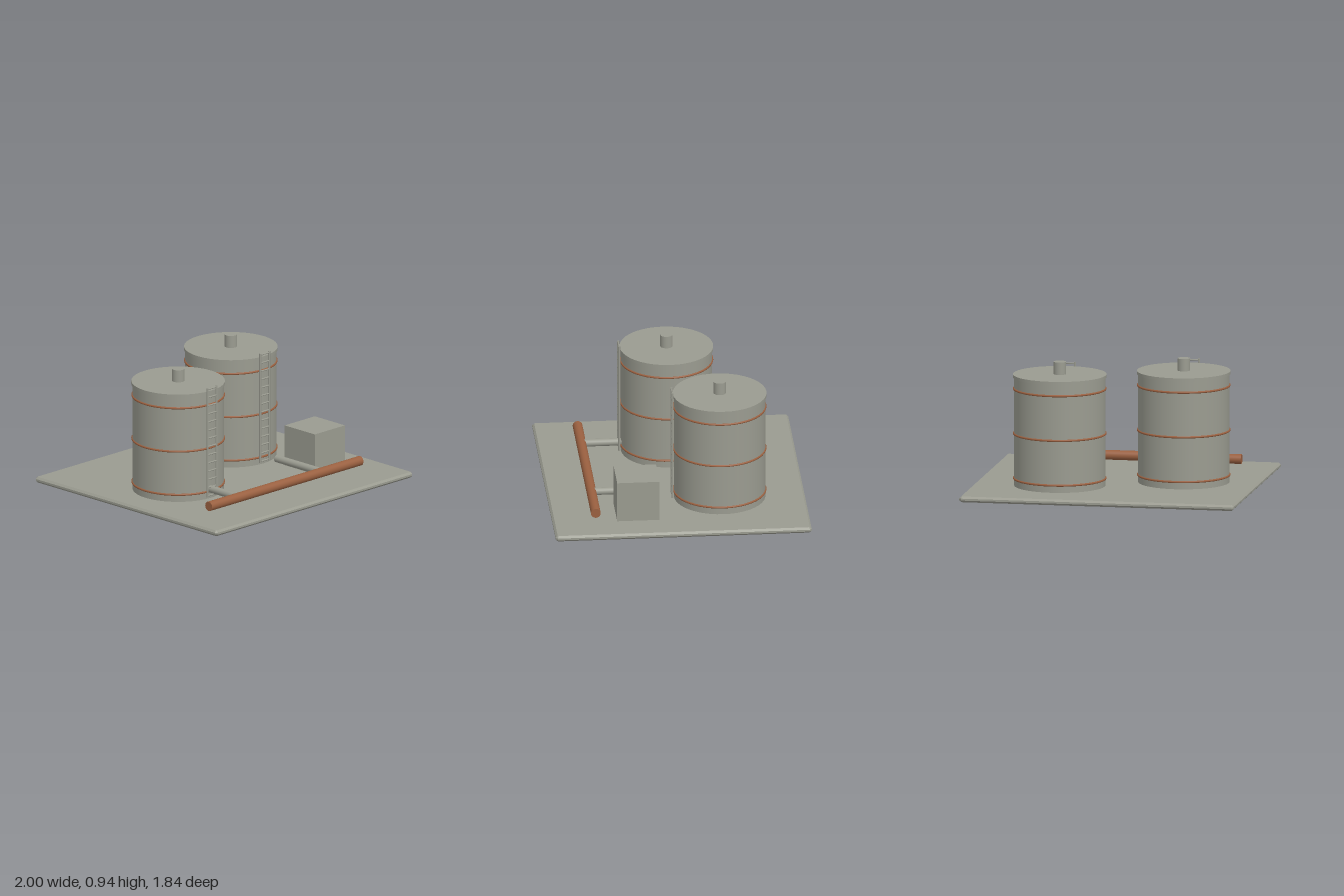
import * as THREE from 'three';

const grey = new THREE.MeshStandardMaterial({ color: 0x9a9b90 });
grey.name = 'weathered grey';
const copper = new THREE.MeshStandardMaterial({ color: 0x9a6040 });
copper.name = 'rust copper';

function add(parent, name, geometry, material, x = 0, y = 0, z = 0) {
  const mesh = new THREE.Mesh(geometry, material);
  mesh.name = name;
  mesh.position.set(x, y, z);
  parent.add(mesh);
  return mesh;
}

const cylinder = (r, h, sides = 40) => new THREE.CylinderGeometry(r, r, h, sides);

// Slab with chamfered edges
function slabGeometry(w, d, h, c) {
  const x = w / 2 - c, z = d / 2 - c, k = 0.006;
  const shape = new THREE.Shape([
    [-x + k, -z], [x - k, -z], [x, -z + k], [x, z - k],
    [x - k, z], [-x + k, z], [-x, z - k], [-x, -z + k],
  ].map(([a, b]) => new THREE.Vector2(a, b)));
  return new THREE.ExtrudeGeometry(shape, {
    depth: h - 2 * c, bevelEnabled: true, bevelSize: c, bevelThickness: c, bevelSegments: 1,
  }).rotateX(-Math.PI / 2).translate(0, c, 0);
}

function createLadder() {
  const ladder = new THREE.Group();
  ladder.name = 'ladder';
  for (const side of [-1, 1]) {
    add(ladder, 'ladderRail', cylinder(0.008, 0.82, 8), grey, side * 0.045, 0.47, 0);
  }
  for (let i = 0; i < 14; i++) {
    add(ladder, 'ladderRung', cylinder(0.006, 0.09, 8).rotateZ(Math.PI / 2), grey, 0, 0.07 + i * 0.0615, 0);
  }
  return ladder;
}

function createTank(x, z) {
  const tank = new THREE.Group();
  tank.name = 'storageTank';
  tank.position.set(x, 0, z);
  add(tank, 'tankWall', cylinder(0.328, 0.80), grey, 0, 0.435, 0);
  add(tank, 'tankLid', cylinder(0.336, 0.022), grey, 0, 0.839, 0);
  add(tank, 'roofVent', cylinder(0.045, 0.1, 24), grey, 0, 0.89, 0);
  for (const y of [0.095, 0.42, 0.745]) {
    add(tank, 'tankHoop', new THREE.TorusGeometry(0.328, 0.008, 8, 48).rotateX(Math.PI / 2), copper, 0, y, 0);
  }
  const ladder = createLadder();
  ladder.position.z = 0.343;
  tank.add(ladder);
  return tank;
}

export function createModel() {
  const model = new THREE.Group();
  model.name = 'tankFarm';

  add(model, 'baseSlab', slabGeometry(2, 1.84, 0.042, 0.014), grey);

  // Staggered tanks, each with an outlet running to the front main
  for (const [x, z] of [[-0.465, 0], [0.38, -0.31]]) {
    model.add(createTank(x, z));
    add(model, 'outletPipe', cylinder(0.027, 0.45, 20).rotateX(Math.PI / 2), grey, x, 0.11, 0.38);
  }
  add(model, 'mainPipe', cylinder(0.035, 1.535, 24).rotateZ(Math.PI / 2), copper, -0.0025, 0.11, 0.613);

  // Pump housing
  add(model, 'pumpHousing', new THREE.BoxGeometry(0.305, 0.305, 0.305), grey, 0.613, 0.188, 0.307);

  return model;
}
